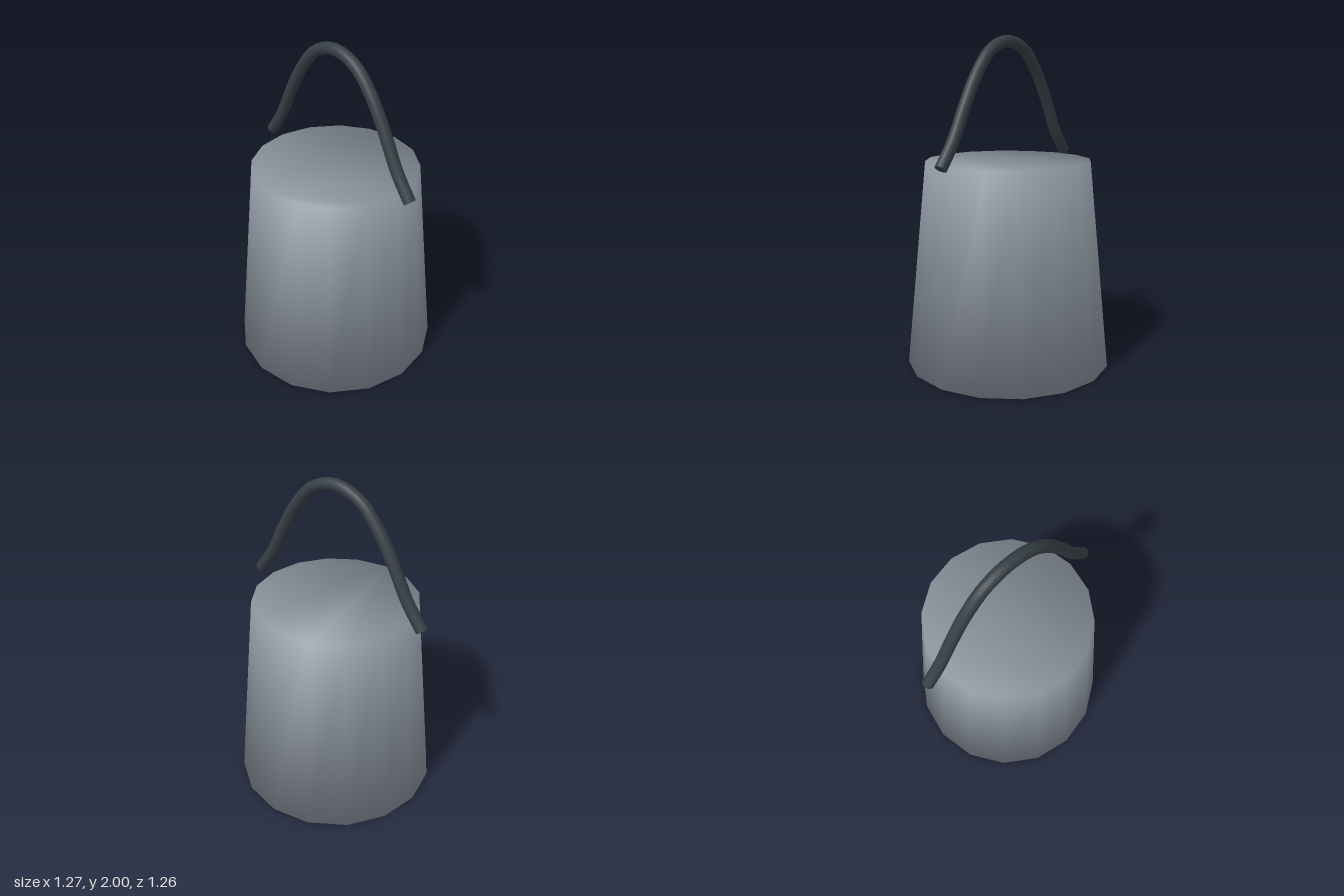
import * as THREE from 'three';

const SIDES = 16;
const HEIGHT = 1.26;

// Closed, tapered drum whose softened normals run across rim and base
function drumGeometry() {
  const rings = [
    { y: 0, r: 0.628, ny: -0.77 },
    { y: HEIGHT, r: 0.503, ny: 0.98 },
  ];
  const positions = [], normals = [], index = [];
  for (const { y, r, ny } of rings) {
    for (let i = 0; i < SIDES; i++) {
      const a = (i / SIDES) * Math.PI * 2;
      const n = new THREE.Vector3(Math.sin(a), ny, Math.cos(a)).normalize();
      positions.push(r * Math.sin(a), y, r * Math.cos(a));
      normals.push(n.x, n.y, n.z);
    }
  }
  for (let i = 0; i < SIDES; i++) {
    const j = (i + 1) % SIDES;
    index.push(i, j, SIDES + j, i, SIDES + j, SIDES + i);
  }
  // Flat base and top
  for (let i = 1; i < SIDES - 1; i++) {
    index.push(0, i + 1, i);
    index.push(SIDES, SIDES + i, SIDES + i + 1);
  }
  const g = new THREE.BufferGeometry();
  g.setAttribute('position', new THREE.Float32BufferAttribute(positions, 3));
  g.setAttribute('normal', new THREE.Float32BufferAttribute(normals, 3));
  g.setIndex(index);
  return g;
}

export function createModel() {
  const model = new THREE.Group();
  model.name = 'bucket';
  const bodyGrey = new THREE.MeshStandardMaterial({ color: 0x8a949d });
  bodyGrey.name = 'body grey';
  const handleGrey = new THREE.MeshStandardMaterial({ color: 0x363f45 });
  handleGrey.name = 'dark handle grey';

  const body = new THREE.Mesh(drumGeometry(), bodyGrey);
  body.name = 'body';
  model.add(body);

  // Bent carrying handle, mirrored about its apex
  const half = [[0.605, 1.265], [0.5, 1.41], [0.4, 1.6], [0.29, 1.78], [0.16, 1.915]];
  const points = [
    ...half.map(([x, y]) => new THREE.Vector3(-x, y, 0)),
    new THREE.Vector3(0, 1.964, 0),
    ...half.slice().reverse().map(([x, y]) => new THREE.Vector3(x, y, 0)),
  ];
  const curve = new THREE.CatmullRomCurve3(points);
  const radius = 0.036;
  const handle = new THREE.Group();
  handle.name = 'handle';
  const rod = new THREE.Mesh(new THREE.TubeGeometry(curve, 40, radius, 16), handleGrey);
  rod.name = 'handleRod';
  handle.add(rod);

  // Flat ends of the handle
  for (const [t, sign, name] of [[0, -1, 'rightHandleEnd'], [1, 1, 'leftHandleEnd']]) {
    const end = new THREE.Mesh(new THREE.CircleGeometry(radius, 16), handleGrey);
    end.name = name;
    end.position.copy(curve.getPoint(t));
    end.quaternion.setFromUnitVectors(
      new THREE.Vector3(0, 0, 1), curve.getTangent(t).multiplyScalar(sign));
    handle.add(end);
  }
  model.add(handle);
  return model;
}
